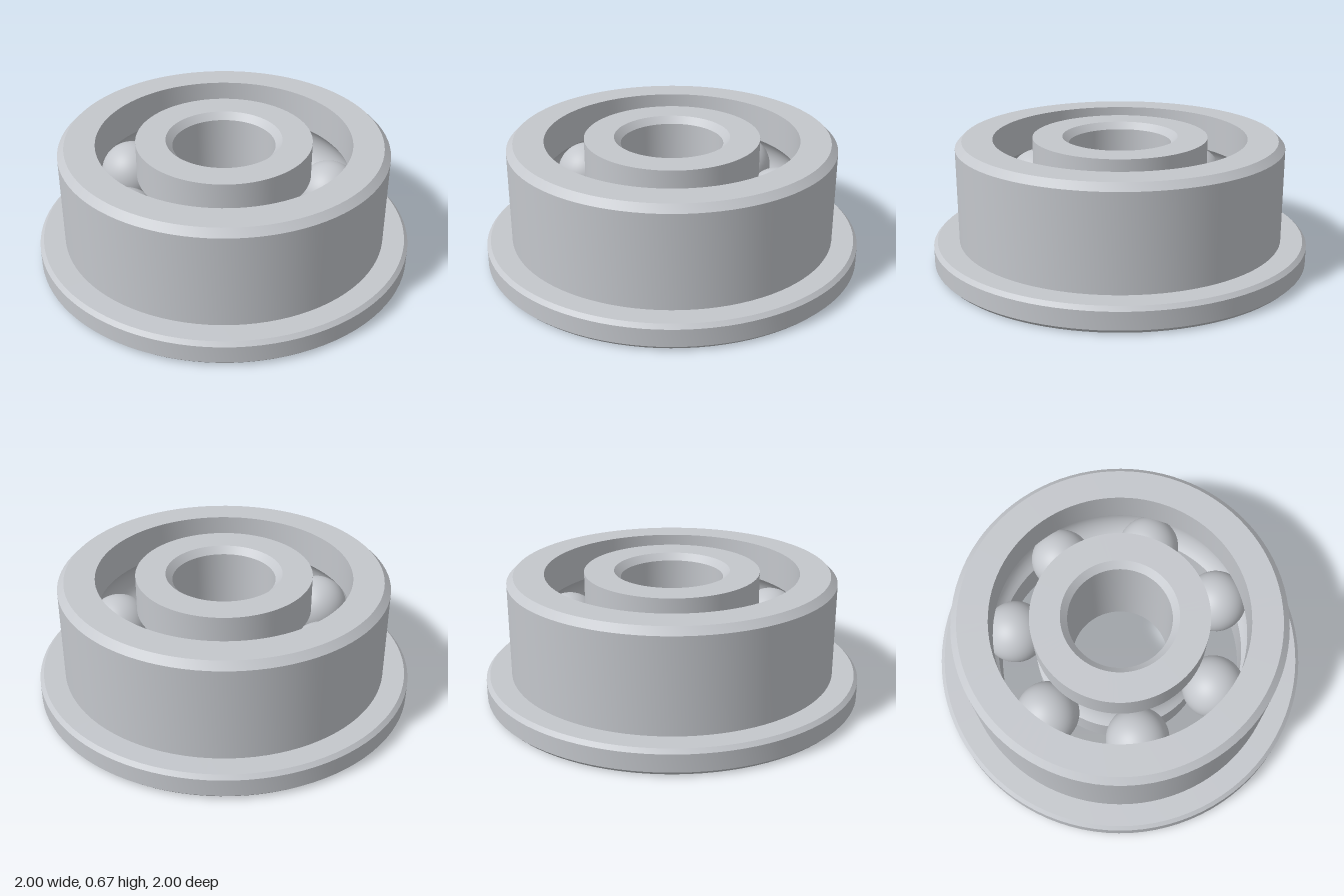
import * as THREE from 'three';
import { toCreasedNormals } from 'three/addons/utils/BufferGeometryUtils.js';

const H = 0.667, MID = H / 2;          // ring height and ball plane
const PITCH = 0.565, BALL = 0.166;     // ball circle radius, ball radius
const OUTER_WALL = 0.67, INNER_WALL = 0.462;

// Round ball groove cut into a straight wall, from angle a to its mirror
function groove(wall, goingUp) {
  const r = BALL + 0.003;
  const d = wall - PITCH;
  const half = Math.acos(Math.abs(d) / r);
  const pts = [];
  for (let i = 0; i <= 12; i++) {
    const a = (goingUp ? 1 : -1) * (-half + (2 * half * i) / 12);
    pts.push([PITCH + Math.sign(d) * r * Math.cos(a), MID + r * Math.sin(a)]);
  }
  return pts;
}

// Closed ring turned from an anticlockwise (radius, height) profile
function ring(name, profile, material) {
  const pts = [...profile, profile[0]].map(([r, y]) => new THREE.Vector2(r, y));
  const geometry = toCreasedNormals(new THREE.LatheGeometry(pts, 96), 0.5);
  const mesh = new THREE.Mesh(geometry, material);
  mesh.name = name;
  return mesh;
}

export function createModel() {
  const steel = new THREE.MeshStandardMaterial({ color: 0xc4c7cc });
  steel.name = 'steel';
  const model = new THREE.Group();
  model.name = 'flangedBallBearing';

  // Outer ring with chamfered flange at the foot
  model.add(ring('outerRing', [
    [OUTER_WALL, 0], [0.98, 0], [1, 0.02], [1, 0.113], [0.98, 0.133],
    [0.865, 0.133], [0.865, H - 0.035], [0.83, H], [OUTER_WALL, H],
    ...groove(OUTER_WALL, false),
  ], steel));

  // Inner ring with chamfered bore
  model.add(ring('innerRing', [
    [0.305, 0], [INNER_WALL, 0], ...groove(INNER_WALL, true),
    [INNER_WALL, H], [0.305, H], [0.27, H - 0.035], [0.27, 0.035],
  ], steel));

  // Seven balls
  const balls = new THREE.Group();
  balls.name = 'balls';
  const ballGeometry = new THREE.SphereGeometry(BALL, 40, 28);
  for (let i = 0; i < 7; i++) {
    const a = (i / 7) * Math.PI * 2;
    const ball = new THREE.Mesh(ballGeometry, steel);
    ball.name = 'ball' + (i + 1);
    ball.position.set(PITCH * Math.cos(a), MID, PITCH * Math.sin(a));
    balls.add(ball);
  }
  model.add(balls);
  return model;
}
